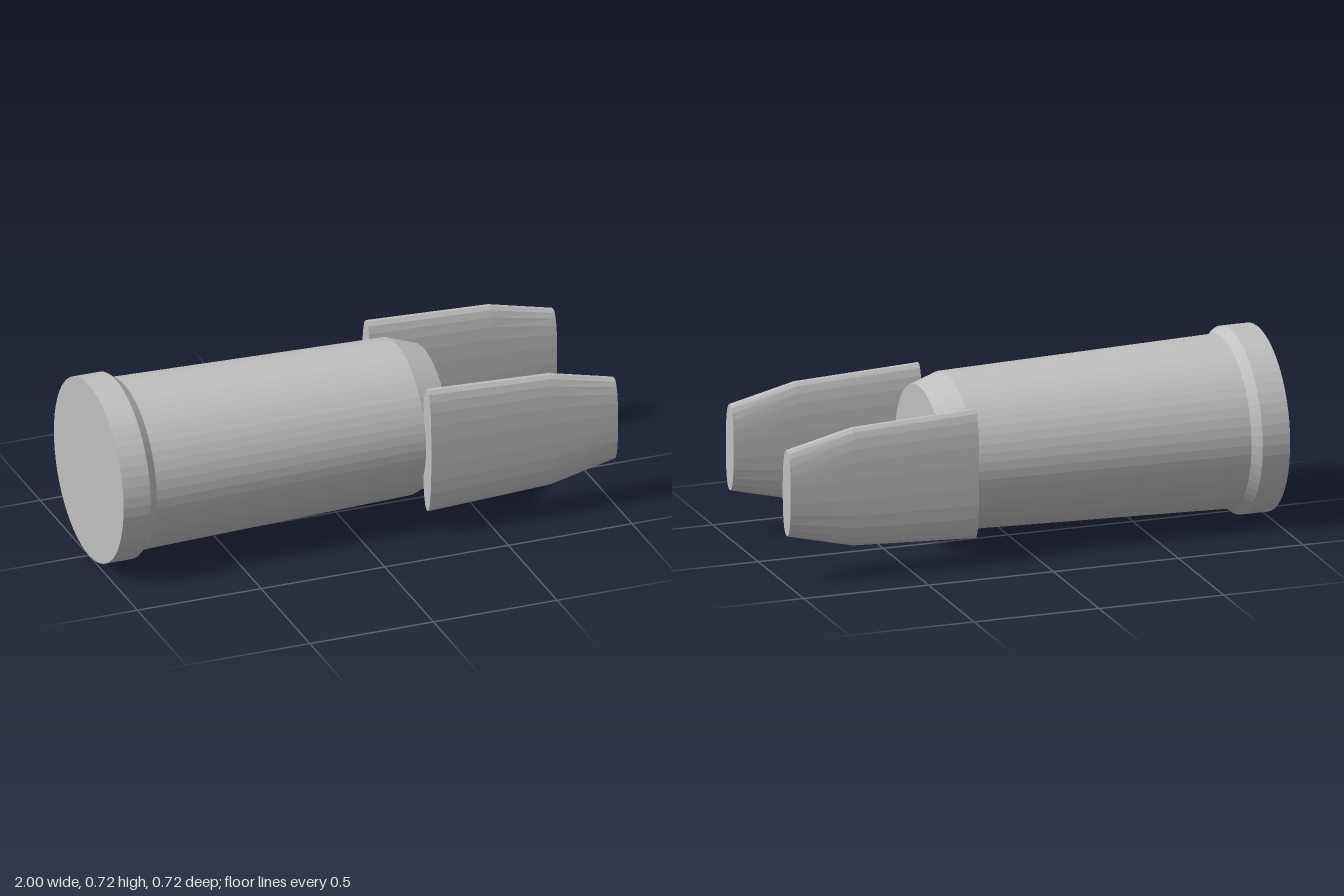
import * as THREE from 'three';

// Solid of revolution about the x axis from [x, radius] pairs
function turned(profile, sides, start = 0) {
  const points = profile.map(([x, r]) => new THREE.Vector2(r, x));
  return new THREE.LatheGeometry(points, sides, start).rotateZ(-Math.PI / 2);
}

// Prong: a turned blank reshaped to a flattened, tapering oval section
function prongGeometry() {
  const stations = [[0.245, 0.255], [0.74, 0.232], [1, 0.169]];
  const sides = 24;
  const profile = [[0.245, 0], ...stations.map(([x]) => [x, 1]), [1, 0]];
  const geometry = turned(profile, sides, Math.PI / sides);
  const p = geometry.attributes.position;
  const squash = (v) => Math.sign(v) * Math.abs(v) ** 0.82;
  for (let i = 0; i < p.count; i++) {
    const station = stations.find(([x]) => Math.abs(x - p.getX(i)) < 1e-3);
    p.setY(i, squash(p.getY(i)) * station[1]);
    p.setZ(i, squash(p.getZ(i)) * 0.044);
  }
  return geometry;
}

export function createModel() {
  const group = new THREE.Group();
  const grey = new THREE.MeshStandardMaterial({ color: 0xc0c0c0, flatShading: true });
  grey.name = 'plain grey';

  // Barrel with a rear collar and a chamfered nose
  const barrel = new THREE.Mesh(turned([
    [-1, 0], [-1, 0.358], [-0.89, 0.358], [-0.855, 0.331],
    [0.245, 0.302], [0.355, 0.264], [0.355, 0],
  ], 56), grey);
  barrel.name = 'barrel';
  barrel.position.y = 0.358;
  group.add(barrel);

  // Matching prongs on both flanks
  const geometry = prongGeometry();
  for (const [name, z] of [['frontProng', 0.313], ['backProng', -0.313]]) {
    const prong = new THREE.Mesh(geometry, grey);
    prong.name = name;
    prong.position.set(0, 0.36, z);
    group.add(prong);
  }
  return group;
}
